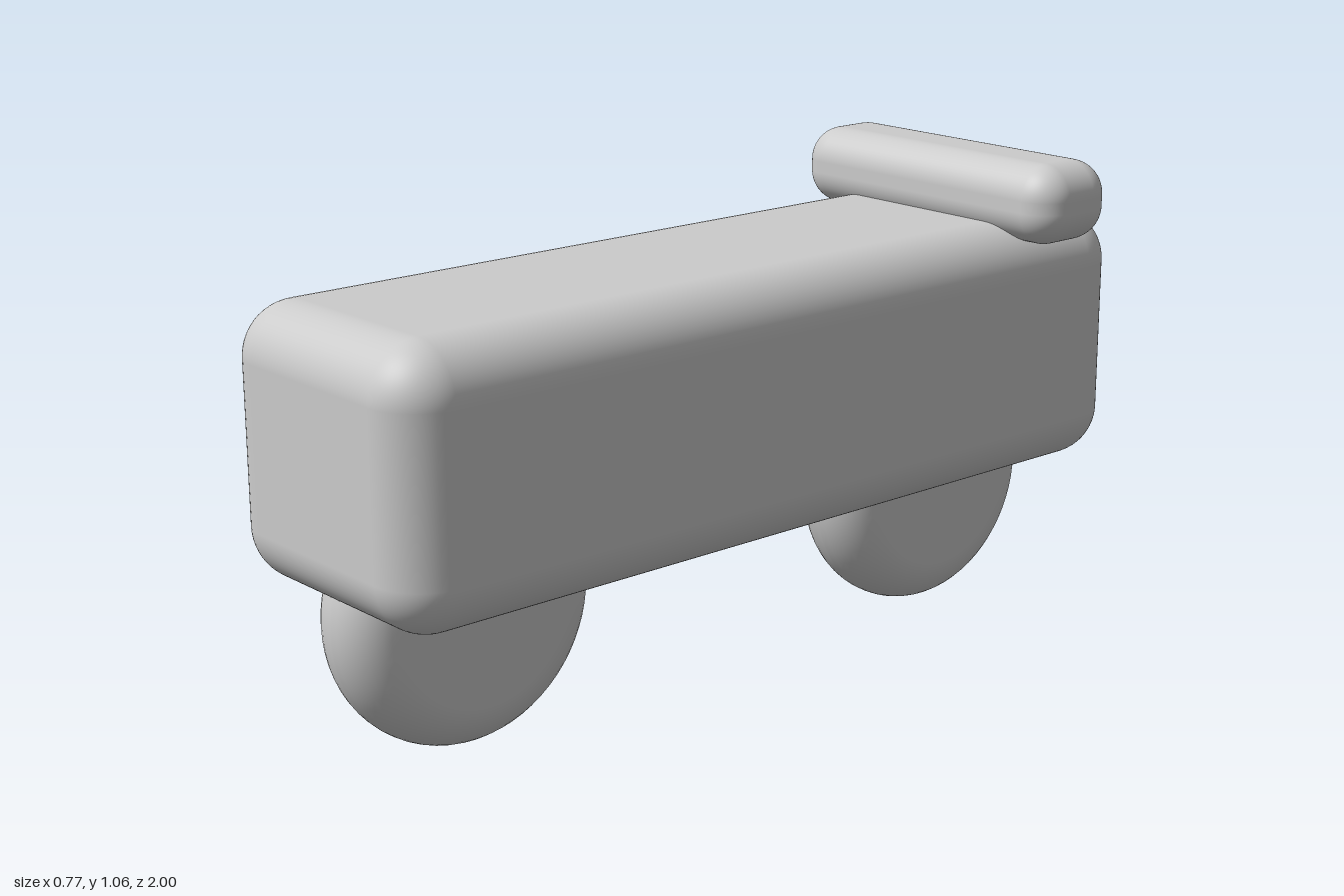
import * as THREE from 'three';
import { RoundedBoxGeometry } from 'three/addons/geometries/RoundedBoxGeometry.js';

const material = new THREE.MeshStandardMaterial({ color: 0xcccccc });

function add(group, name, geometry, x, y, z) {
  const mesh = new THREE.Mesh(geometry, material);
  mesh.name = name;
  mesh.position.set(x, y, z);
  group.add(mesh);
  return mesh;
}

// Solid disc with rounded rims, its axis along y
function roundedDisc(radius, width, round) {
  const points = [new THREE.Vector2(0, -width / 2)];
  const addArc = (cy, from) => {
    for (let i = 0; i <= 10; i++) {
      const a = from + (i / 10) * (Math.PI / 2);
      points.push(new THREE.Vector2(radius - round + round * Math.cos(a), cy + round * Math.sin(a)));
    }
  };
  addArc(-width / 2 + round, -Math.PI / 2);
  addArc(width / 2 - round + 0.0005, 0);
  points.push(new THREE.Vector2(0, width / 2 + 0.0005));
  return new THREE.LatheGeometry(points, 64);
}

export function createModel() {
  const model = new THREE.Group();
  model.name = 'rideOnToy';
  const offset = -0.023; // wheels and lamp sit slightly off the centre line

  // Long rounded body
  add(model, 'body', new RoundedBoxGeometry(0.62, 0.57, 1.96, 8, 0.115), 0, 0.637, 0.02);

  // Crossbar at the rear top
  add(model, 'handlebar', new RoundedBoxGeometry(0.766, 0.176, 0.226, 8, 0.075), 0, 0.97, -0.725);

  // Two wheels in line
  for (const [name, z] of [['frontWheel', 0.66], ['rearWheel', -0.635]]) {
    add(model, name, roundedDisc(0.3, 0.214, 0.105), offset, 0.3, z).rotation.z = Math.PI / 2;
  }

  // Round lamp on the end face
  add(model, 'lamp', roundedDisc(0.115, 0.08, 0.039), offset, 0.665, -0.96).rotation.x = Math.PI / 2;

  return model;
}
